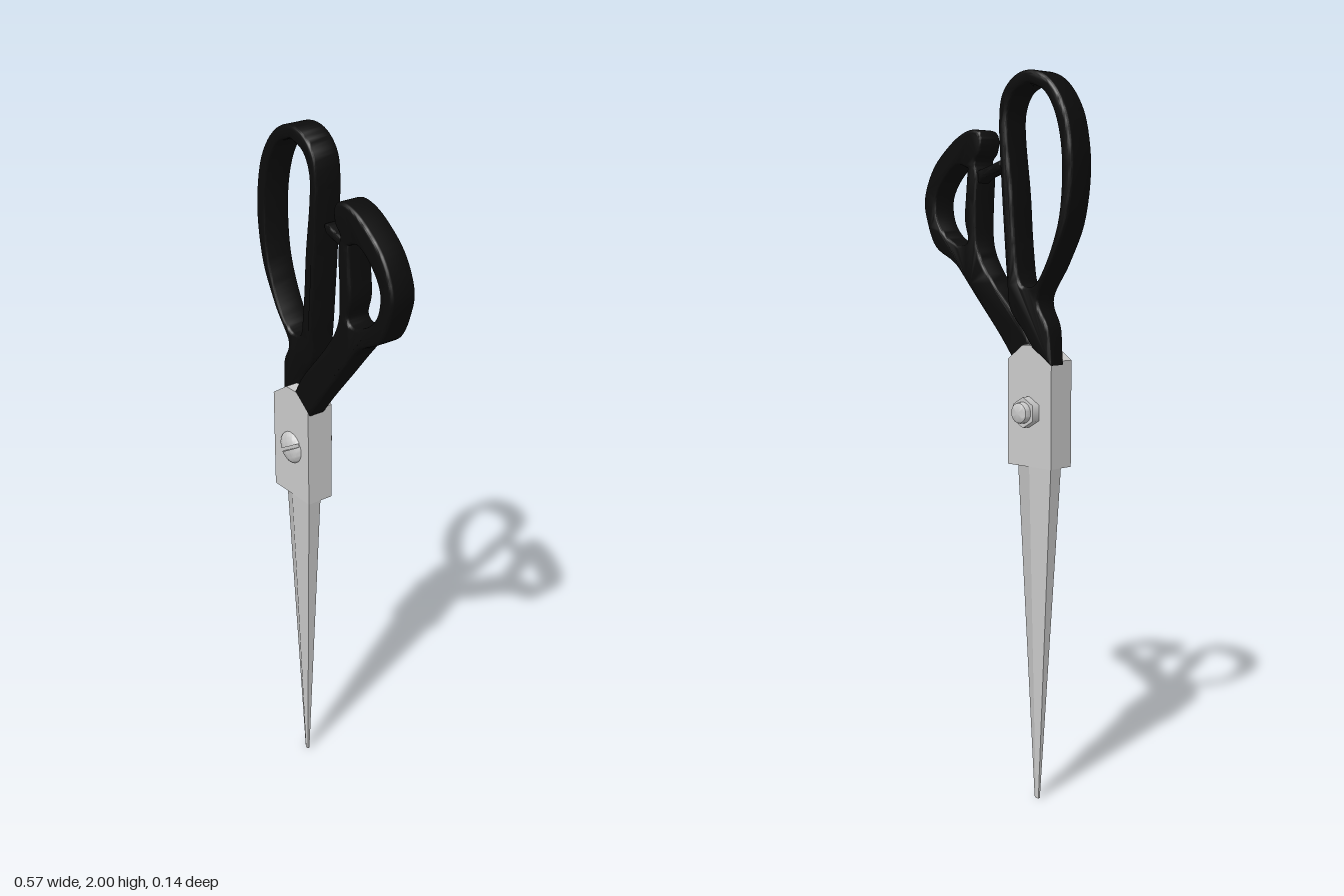
import * as THREE from 'three';
import { toCreasedNormals } from 'three/addons/utils/BufferGeometryUtils.js';
import { ParametricGeometry } from 'three/addons/geometries/ParametricGeometry.js';

const steel = new THREE.MeshStandardMaterial({ color: 0xcccccc });
const slotted = new THREE.MeshStandardMaterial({ color: 0xcccccc, side: THREE.DoubleSide });
const black = new THREE.MeshStandardMaterial({ color: 0x0c0c0c });
const { lerp, smoothstep } = THREE.MathUtils;

const MID = 0.015;                 // plane where the two blades meet
const PIVOT = [-0.125, 1.1];

function mesh(name, geometry, material) {
  const m = new THREE.Mesh(geometry, material);
  m.name = name;
  return m;
}

const toPoints = list => list.map(([x, y]) => new THREE.Vector2(x, y));

// Rewrites each vertex by a rule
function reshape(geometry, rule) {
  const p = geometry.attributes.position;
  const v = new THREE.Vector3();
  for (let i = 0; i < p.count; i++) {
    rule(v.fromBufferAttribute(p, i));
    p.setXYZ(i, v.x, v.y, v.z);
  }
  return geometry;
}

// One blade half: side = 1 in front, -1 behind. Tapered, ground to an edge on one side.
function blade(side) {
  const group = new THREE.Group();
  group.name = side > 0 ? 'frontBlade' : 'backBlade';

  const taper = reshape(new THREE.BoxGeometry(1, 1, 1), v => {
    const t = v.y + 0.5;
    const ground = v.x * side < 0 && v.z * side > 0;
    const half = lerp(0.01, 0.08, t);
    const outer = lerp(0.006, 0.04, t);
    const mid = lerp(0.012, MID, t);
    v.set(-0.125 + (ground ? 0 : Math.sign(v.x) * half), t * 0.95, mid + (v.z * side > 0 ? side * outer : 0));
  }).toNonIndexed();
  taper.computeVertexNormals();
  group.add(mesh('cuttingBlade', taper, steel));

  // Full-thickness block around the pivot
  const outline = toPoints([[-0.205, 0.95], [-0.045, 0.95], [-0.045, 1.24], [-0.1, 1.28], [-0.145, 1.28], [-0.205, 1.24]]);
  const block = new THREE.ExtrudeGeometry(new THREE.Shape(outline), { depth: 0.04, bevelEnabled: false });
  block.translate(0, 0, side > 0 ? MID : MID - 0.04);
  group.add(mesh('pivotBlock', block, steel));
  return group;
}

// Rounded grip from an outline with a finger hole; its z range blends from sleeve to ring
function handle(name, outer, inner, sleeveZ, ringZ) {
  const pts = toPoints(outer);
  const shape = new THREE.Shape().moveTo(pts[0].x, pts[0].y).splineThru(pts.slice(1));
  if (inner) {
    const hole = toPoints(inner);
    shape.holes.push(new THREE.Path().moveTo(hole[0].x, hole[0].y).splineThru([...hole.slice(1), hole[0]]));
  }
  const b = 0.01;
  const geometry = new THREE.ExtrudeGeometry(shape, {
    depth: 0.08 - 2 * b, bevelThickness: b, bevelSize: b, bevelOffset: -b, bevelSegments: 4, curveSegments: 5
  });
  reshape(geometry, v => {
    const k = smoothstep(v.y, 1.26, 1.5);
    const t = (v.z + b) / 0.08;
    v.z = lerp(lerp(sleeveZ[0], ringZ[0], k), lerp(sleeveZ[1], ringZ[1], k), t);
  });
  return mesh(name, toCreasedNormals(geometry, 0.7), black);
}

// Domed, slotted screw head made of two mirrored halves
function screwHead() {
  const group = new THREE.Group();
  group.name = 'screwHead';
  const R = 0.046, gap = 0.005, N = 9;
  const half = new ParametricGeometry((u, v, out) => {
    const t = Math.max(0, (u * N - 1) / (N - 1));
    const x = lerp(gap, R, Math.sin(t * Math.PI / 2));
    const y = (v * 2 - 1) * Math.sqrt(Math.max(0, R * R - x * x));
    const dome = Math.sqrt(Math.max(0, 1 - (x * x + y * y) / (R * R)));
    out.set(x, y, u === 0 ? 0 : 0.017 * dome);
  }, N, 20);
  const geometry = toCreasedNormals(half, 0.7);
  for (const turn of [0, Math.PI]) {
    const m = mesh('screwHeadHalf', geometry, slotted);
    m.rotation.z = turn;
    group.add(m);
  }
  const slot = mesh('slotFloor', new THREE.BoxGeometry(gap * 2, R * 1.9, 0.002), steel);
  slot.position.z = 0.001;
  group.add(slot);
  group.rotation.z = -Math.PI / 3;
  group.position.set(...PIVOT, 0.055);
  return group;
}

// Hex nut with the rounded end of the bolt behind it
function nut() {
  const group = new THREE.Group();
  group.name = 'nut';
  const hex = new THREE.CylinderGeometry(0.042, 0.042, 0.025, 6);
  hex.translate(0, 0.0125, 0);
  group.add(mesh('hexNut', hex, steel));
  const profile = toPoints([[0.029, 0.02], [0.029, 0.036], [0.027, 0.042], [0.02, 0.046], [0, 0.047]]);
  group.add(mesh('boltEnd', toCreasedNormals(new THREE.LatheGeometry(profile, 24), 0.6), steel));
  group.rotation.x = -Math.PI / 2;
  group.position.set(...PIVOT, -0.025);
  return group;
}

export function createModel() {
  const model = new THREE.Group();
  model.name = 'scissors';
  model.add(blade(1), blade(-1), screwHead(), nut());

  // Long finger loop, fixed to the back blade
  model.add(handle('fingerHandle', [
    [-0.14, 1.275], [-0.11, 1.315], [-0.06, 1.375], [-0.05, 1.455], [-0.037, 1.605], [-0.025, 1.765],
    [-0.02, 1.87], [-0.03, 1.94], [-0.07, 1.985], [-0.125, 2], [-0.185, 1.983], [-0.235, 1.935],
    [-0.27, 1.86], [-0.285, 1.74], [-0.265, 1.605], [-0.215, 1.5], [-0.17, 1.425], [-0.167, 1.385],
    [-0.2, 1.325], [-0.21, 1.23]
  ], [
    [-0.13, 1.965], [-0.08, 1.945], [-0.053, 1.895], [-0.053, 1.82], [-0.07, 1.685], [-0.08, 1.555],
    [-0.095, 1.455], [-0.125, 1.435], [-0.16, 1.45], [-0.205, 1.525], [-0.24, 1.63], [-0.247, 1.765],
    [-0.227, 1.87], [-0.185, 1.94]
  ], [-0.035, 0.02], [-0.04, 0.043]));

  // Short thumb loop, fixed to the front blade
  model.add(handle('thumbHandle', [
    [-0.04, 1.23], [0.05, 1.35], [0.13, 1.46], [0.17, 1.5], [0.24, 1.54], [0.275, 1.61], [0.285, 1.68],
    [0.245, 1.765], [0.17, 1.83], [0.11, 1.857], [0.068, 1.855], [0.053, 1.83], [0.06, 1.795],
    [0.078, 1.772], [0.07, 1.73], [0.075, 1.63], [0.07, 1.54], [0.025, 1.46], [-0.07, 1.34], [-0.105, 1.28]
  ], [
    [0.11, 1.755], [0.15, 1.765], [0.2, 1.73], [0.235, 1.675], [0.23, 1.615], [0.195, 1.57],
    [0.14, 1.545], [0.11, 1.56], [0.122, 1.615], [0.117, 1.685]
  ], [0, 0.057], [-0.031, 0.046]));

  // Stop peg between the loops
  model.add(handle('stopPeg', [
    [0.085, 1.7], [0.06, 1.722], [0.02, 1.737], [-0.01, 1.747], [-0.019, 1.765], [-0.01, 1.772],
    [0.03, 1.76], [0.085, 1.745]
  ], null, [-0.02, 0.02], [-0.025, 0.02]));
  return model;
}
